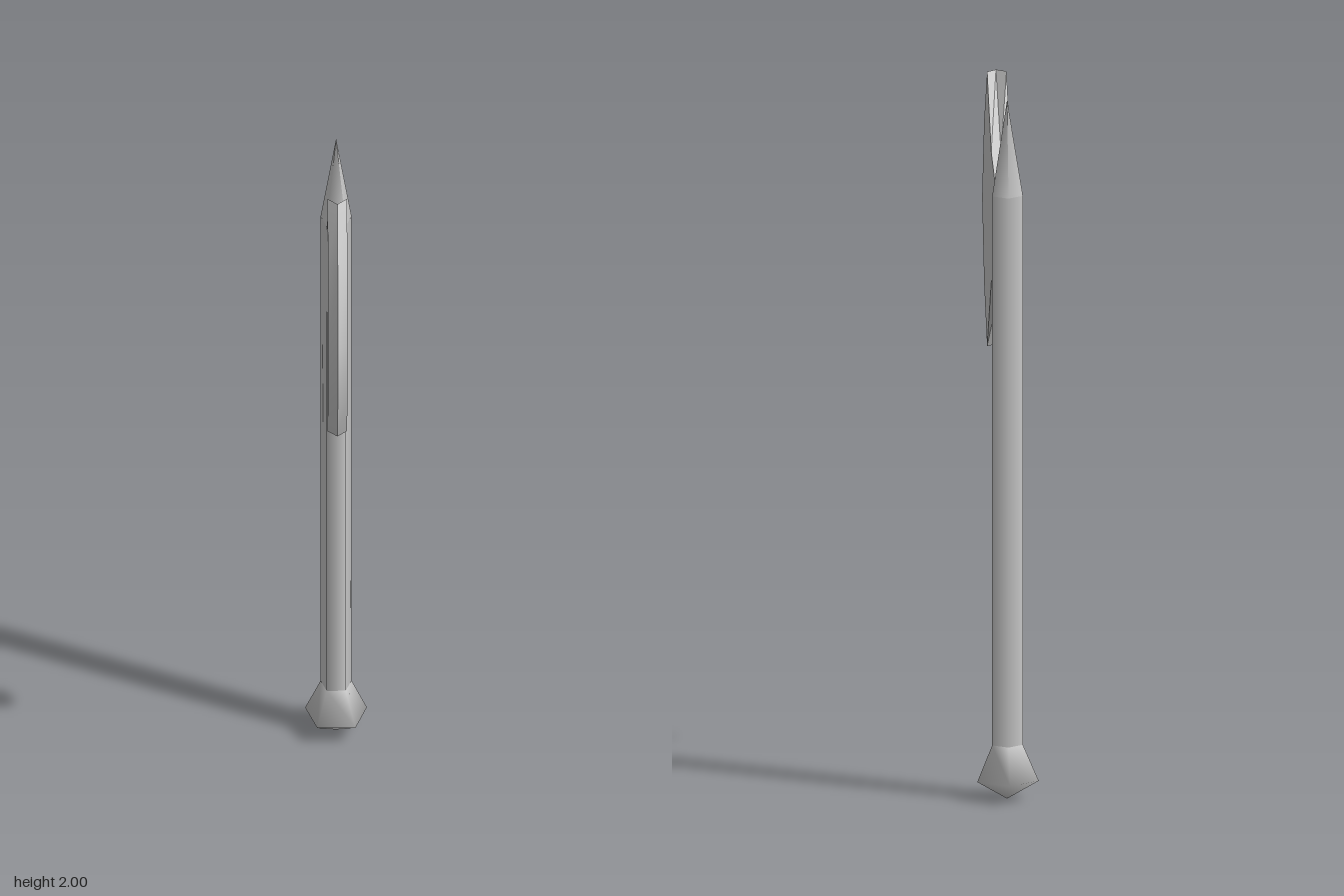
import * as THREE from 'three';
import { toCreasedNormals } from 'three/addons/utils/BufferGeometryUtils.js';

const SHAFT_Z = -0.2;
const BLADE_THICKNESS = 0.054;

export function createModel() {
  const model = new THREE.Group();
  model.name = 'battleAxe';
  const material = new THREE.MeshStandardMaterial({ color: 0xcccccc });

  function add(name, geometry) {
    const mesh = new THREE.Mesh(geometry, material);
    mesh.name = name;
    model.add(mesh);
    return mesh;
  }

  // Five-sided turned part with one corner pointing backwards
  function addTurned(name, profile) {
    const points = profile.map(([r, y]) => new THREE.Vector2(r, y));
    add(name, new THREE.LatheGeometry(points, 5, Math.PI)).position.z = SHAFT_Z;
  }

  addTurned('pommel', [[0, 0.005], [0.09, 0.06], [0.045, 0.16]]);
  addTurned('shaft', [[0.045, 0.16], [0.045, 1.72]]);
  addTurned('spike', [[0.045, 1.72], [0, 1.99]]);

  // Blade outline as (z, y): neck, lower horn, cutting edge, upper horn
  const outline = [
    [-0.163, 1.51], [-0.015, 1.43], [0.11, 1.22], [0.2, 1.38], [0.26, 1.61],
    [0.2, 1.84], [0.11, 2], [-0.015, 1.8], [-0.163, 1.72],
  ].map(([z, y]) => new THREE.Vector2(z, y));
  const blade = new THREE.ExtrudeGeometry(new THREE.Shape(outline), {
    depth: BLADE_THICKNESS, steps: 2, bevelEnabled: false,
  });
  blade.translate(0, 0, -BLADE_THICKNESS / 2).rotateY(-Math.PI / 2);

  // Push the middle row of the cutting edge forward to sharpen it
  const pos = blade.attributes.position;
  for (let i = 0; i < pos.count; i++) {
    if (Math.abs(pos.getX(i)) < 0.001 && pos.getZ(i) > 0.1) pos.setZ(i, pos.getZ(i) + 0.026);
  }
  add('blade', toCreasedNormals(blade, 0.45));

  return model;
}
